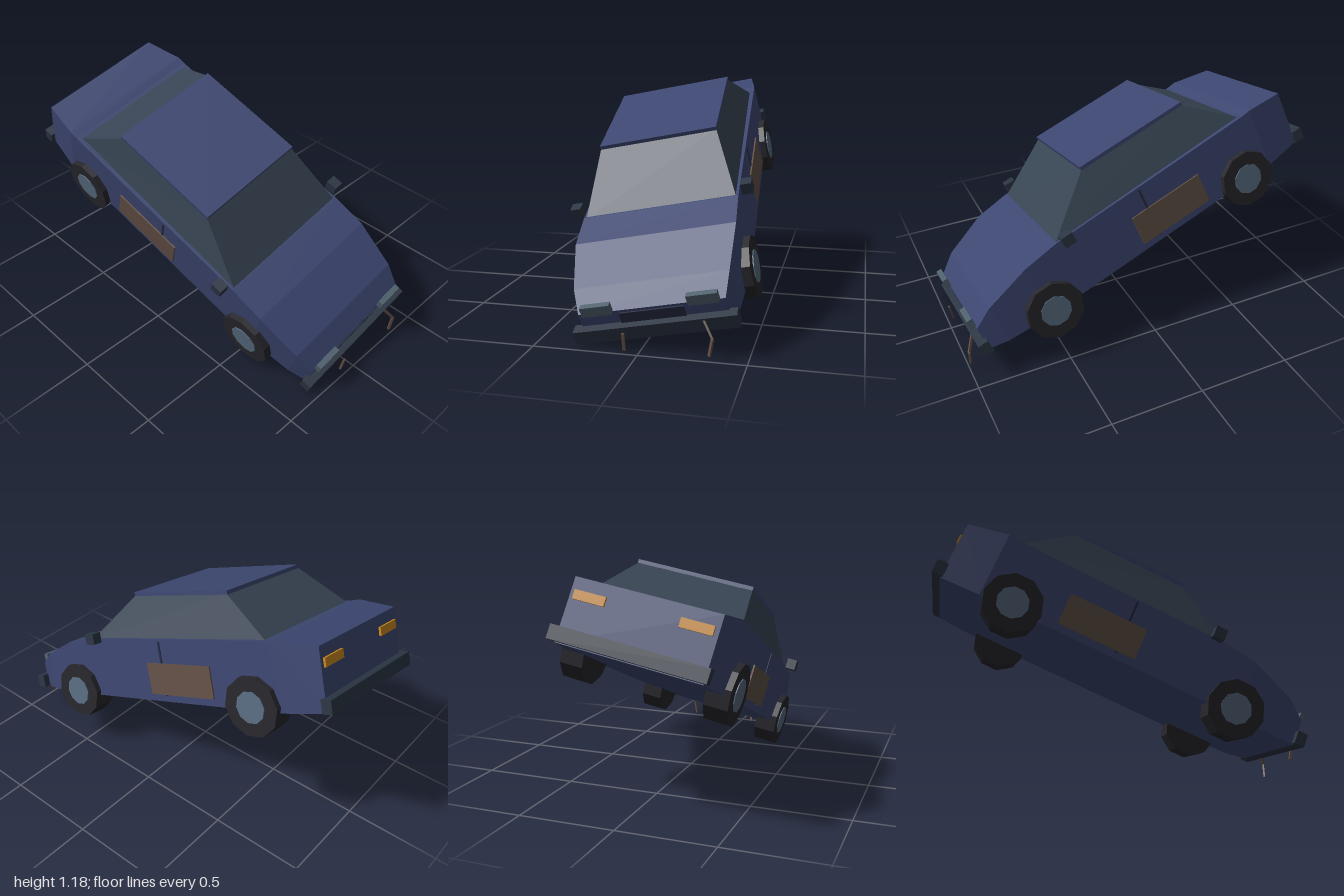
import * as THREE from 'three';

const mat = (name, color, side = THREE.FrontSide) => {
  const m = new THREE.MeshStandardMaterial({ color, flatShading: true, side });
  m.name = name;
  return m;
};

// Skin of quads through four-cornered rings, closed at both ends
function loft(rings) {
  const p = [];
  const quad = (a, b, c, d) => p.push(...a, ...b, ...c, ...a, ...c, ...d);
  for (let i = 0; i < rings.length - 1; i++) {
    for (let j = 0; j < 4; j++) {
      const k = (j + 1) % 4;
      quad(rings[i][j], rings[i][k], rings[i + 1][k], rings[i + 1][j]);
    }
  }
  quad(...[...rings[0]].reverse());
  quad(...rings[rings.length - 1]);
  const g = new THREE.BufferGeometry();
  g.setAttribute('position', new THREE.Float32BufferAttribute(p, 3));
  g.computeVertexNormals();
  return g;
}

export function createModel() {
  const paint = mat('bodyPaint', 0x3c4670);
  const glass = mat('darkGlass', 0x384554);
  const tyreMat = mat('tyreRubber', 0x26262c);
  const hubMat = mat('hubSteel', 0x586b80);
  const trim = mat('bumperTrim', 0x2b3543);
  const dark = mat('darkRecess', 0x262c42);
  const lampMat = mat('headlightGlass', 0x4e606d);
  const amber = mat('amberLens', 0xc4851f);
  const rust = mat('rust', 0x625046);

  const model = new THREE.Group();
  const car = new THREE.Group();
  car.name = 'car';
  model.add(car);

  const add = (name, geometry, material, x = 0, y = 0, z = 0) => {
    const m = new THREE.Mesh(geometry, material);
    m.name = name;
    m.position.set(x, y, z);
    car.add(m);
    return m;
  };
  const box = (name, w, h, d, material, x, y, z) =>
    add(name, new THREE.BoxGeometry(w, h, d), material, x, y, z);

  // Lower body: z, half width, top, bottom
  const sections = [
    [-0.97, 0.365, 0.162, -0.155],
    [-0.757, 0.403, 0.193, -0.16],
    [-0.71, 0.403, 0.188, -0.16],
    [0.475, 0.403, 0.173, -0.16],
    [0.671, 0.403, 0.148, -0.16],
    [0.917, 0.375, 0.061, -0.16],
    [1.02, 0.35, -0.012, -0.15],
  ];
  add('body', loft(sections.map(([z, h, t, b]) =>
    [[-h, b, z], [h, b, z], [h, t, z], [-h, t, z]])), paint);

  // Cabin glass: y, front half width, rear half width, front z, rear z
  const cabin = [
    [0.165, 0.392, 0.385, 0.48, -0.715],
    [0.396, 0.312, 0.312, 0.165, -0.45],
  ];
  add('cabinGlass', loft(cabin.map(([y, hf, hr, f, r]) =>
    [[-hf, y, f], [hf, y, f], [hr, y, r], [-hr, y, r]])), glass);
  box('roof', 0.63, 0.02, 0.63, paint, 0, 0.4, -0.143);

  // Bumpers and grille
  box('frontBumper', 0.78, 0.07, 0.055, trim, 0, -0.115, 1.035);
  box('rearBumper', 0.78, 0.07, 0.055, trim, 0, -0.115, -0.987);
  box('grille', 0.31, 0.06, 0.012, dark, 0, -0.055, 1.021);

  // Mirrored parts
  const tyreGeo = new THREE.CylinderGeometry(0.155, 0.155, 0.12, 10).rotateZ(Math.PI / 2);
  const hubGeo = new THREE.CylinderGeometry(0.083, 0.083, 0.012, 10).rotateZ(Math.PI / 2);
  for (const s of [-1, 1]) {
    for (const [end, z] of [['front', 0.645], ['rear', -0.592]]) {
      add(end + 'Tyre', tyreGeo, tyreMat, s * 0.375, -0.133, z);
      add(end + 'Hub', hubGeo, hubMat, s * 0.434, -0.133, z);
    }
    box('headlight', 0.143, 0.052, 0.03, lampMat, s * 0.252, 0.012, 1.028);
    box('tailLight', 0.16, 0.045, 0.018, amber, s * 0.263, 0.08, -0.973);
    box('mirror', 0.055, 0.058, 0.062, trim, s * 0.445, 0.186, 0.42);
    box('doorSeam', 0.008, 0.295, 0.012, dark, s * 0.403, 0.02, -0.026);
    box('rustyDoorPatch', 0.009, 0.17, 0.425, rust, s * 0.407, -0.035, -0.138);
  }

  // The car rests nose down and leaning sideways
  car.rotation.set(THREE.MathUtils.degToRad(20.7), 0, THREE.MathUtils.degToRad(11.1), 'ZXY');
  car.position.set(-0.022, 0.59, 0);

  // Bent straps hanging from the front bumper
  const straps = [
    [[-0.07, 0.1, 0.985], [-0.07, 0.015, 0.968]],
    [[0.295, 0.185, 0.955], [0.343, 0.112, 0.992], [0.328, 0.03, 0.987]],
  ];
  const up = new THREE.Vector3(0, 1, 0);
  for (const path of straps) {
    for (let i = 0; i < path.length - 1; i++) {
      const a = new THREE.Vector3(...path[i]);
      const b = new THREE.Vector3(...path[i + 1]);
      const d = b.clone().sub(a);
      const m = new THREE.Mesh(new THREE.BoxGeometry(0.014, d.length(), 0.01), rust);
      m.name = 'hangingStrap';
      m.position.copy(a).add(b).multiplyScalar(0.5);
      m.quaternion.setFromUnitVectors(up, d.normalize());
      model.add(m);
    }
  }
  return model;
}
